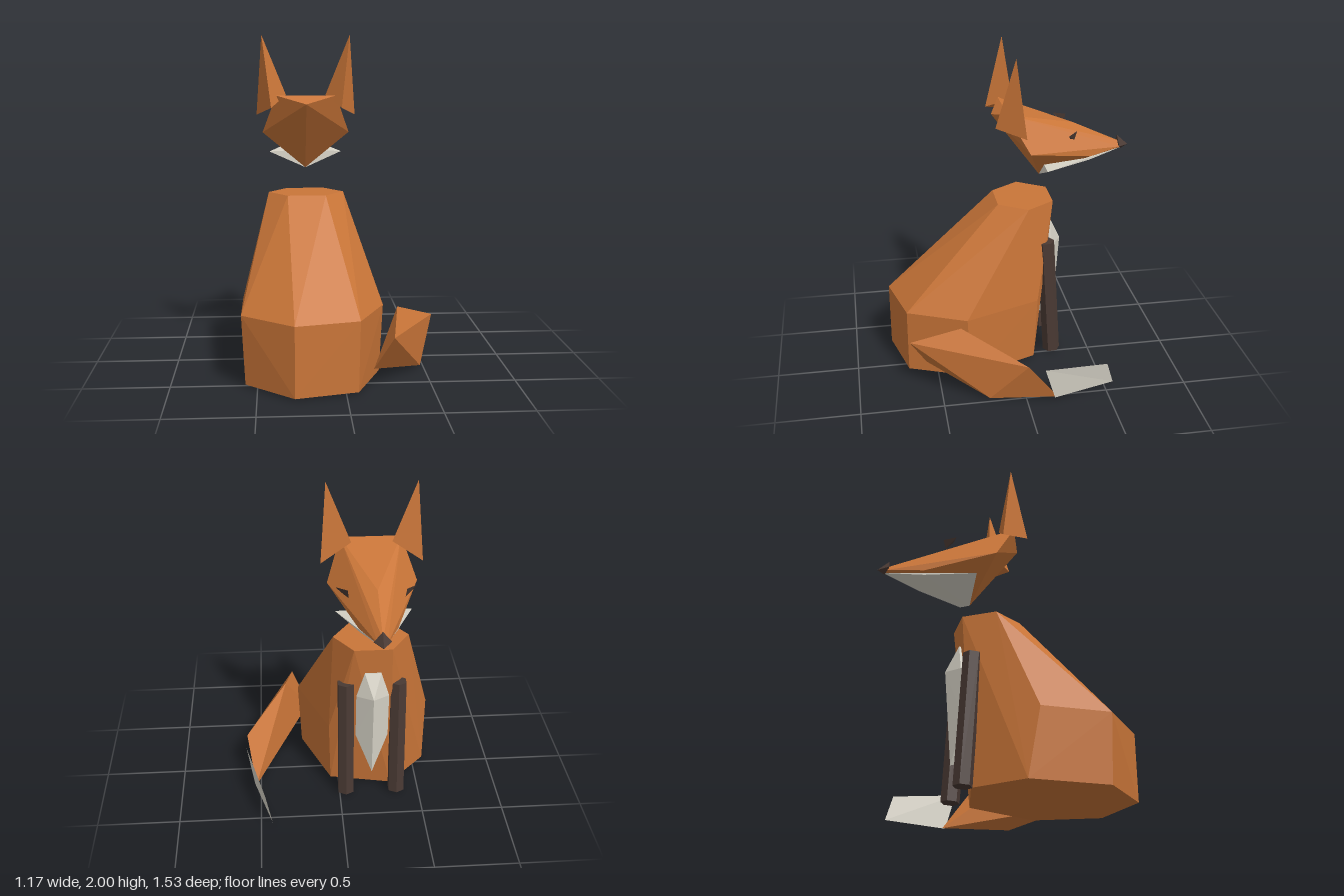
import * as THREE from 'three';
import { ConvexGeometry } from 'three/addons/geometries/ConvexGeometry.js';

const material = (color, side = THREE.FrontSide) =>
  new THREE.MeshStandardMaterial({ color, side, flatShading: true });
const fur = material(0xc97538);
const dark = material(0x4a3a34);
const darkThin = material(0x4a3a34, THREE.DoubleSide);
const cream = material(0xd6d2c6);
const creamThin = material(0xd6d2c6, THREE.DoubleSide);

const ring = (y, xz) => xz.map(([x, z]) => [x, y, z]);
const flip = (pts) => pts.map(([x, y, z]) => [-x, y, z]);
const both = (pts) => [...pts, ...flip(pts)];

function part(name, geometry, mat) {
  const mesh = new THREE.Mesh(geometry, mat);
  mesh.name = name;
  return mesh;
}

// Faceted solid around a few corner points
const solid = (name, pts, mat) =>
  part(name, new ConvexGeometry(pts.map((p) => new THREE.Vector3(...p))), mat);

// Thin four-cornered panel
function panel(name, pts, mat) {
  const g = new THREE.BufferGeometry();
  const corners = [0, 1, 2, 0, 2, 3].flatMap((i) => pts[i]);
  g.setAttribute('position', new THREE.Float32BufferAttribute(corners, 3));
  g.computeVertexNormals();
  return part(name, g, mat);
}

export function createModel() {
  const model = new THREE.Group();
  model.name = 'sittingFox';
  const fox = new THREE.Group();
  fox.name = 'fox';
  fox.position.x = -0.2; // the tail reaches out to +x
  model.add(fox);

  // Body: seven-sided haunches narrowing to a six-sided neck
  const neck = Array.from({ length: 6 }, (_, i) => {
    const a = (i * Math.PI) / 3;
    return [0.23 * Math.cos(a), -0.095 + 0.2 * Math.sin(a)];
  });
  fox.add(solid('body', [
    ...ring(0.01, [[0.42, 0.3], [0.27, 0.68], [-0.09, 0.77], [-0.37, 0.51], [-0.37, 0.04], [-0.13, -0.21], [0.25, -0.13]]),
    ...ring(0.42, [[0.44, 0.32], [0.28, 0.68], [-0.09, 0.77], [-0.39, 0.52], [-0.39, 0.11], [-0.12, -0.2], [0.26, -0.15]]),
    ...ring(1.04, neck),
  ], fur));

  // Chest bib
  fox.add(solid('chest', [
    ...both([[0.05, 0.88, -0.27], [0.1, 0.72, -0.27], [0.1, 0.42, -0.25], [0.04, 0.86, -0.2]]),
    [0, 0.73, -0.34], [0, 0.17, -0.3], [0, 0.2, -0.2],
  ], cream));

  // Head: skull and snout in one wedge
  fox.add(solid('head', [
    ...both([[0.18, 1.64, 0.03], [0.265, 1.41, -0.1], [0.11, 1.32, -0.5], [0.025, 1.34, -0.71]]),
    [0, 1.59, 0.1], [0, 1.18, -0.2], [0, 1.51, -0.41], [0, 1.37, -0.71], [0, 1.33, -0.73],
  ], fur));
  fox.add(solid('jaw', [
    ...both([[0.225, 1.28, -0.21], [0.1, 1.295, -0.5]]),
    [0, 1.18, -0.2], [0, 1.33, -0.73], [0, 1.29, -0.21],
  ], cream));
  fox.add(solid('nose', [
    ...both([[0.05, 1.35, -0.7]]),
    [0, 1.41, -0.695], [0, 1.32, -0.72], [0, 1.345, -0.765],
  ], dark));

  // Paired ears, eyes and front legs
  const ear = [[0.12, 1.64, -0.05], [0.3, 1.52, -0.07], [0.21, 1.57, 0.105], [0.265, 2, -0.01]];
  const eye = [[0.23, 1.5, -0.335], [0.165, 1.51, -0.4], [0.16, 1.455, -0.385], [0.2, 1.475, -0.35]];
  for (const [side, s] of [['left', 1], ['right', -1]]) {
    fox.add(solid(side + 'Ear', s > 0 ? ear : flip(ear), fur));
    fox.add(panel(side + 'Eye', s > 0 ? eye : flip(eye), darkThin));
    const leg = part(side + 'FrontLeg', new THREE.CylinderGeometry(0.055, 0.055, 0.785, 6), dark);
    leg.position.set(s * 0.16, 0.395, -0.24);
    leg.rotation.x = 0.06;
    fox.add(leg);
  }

  // Tail sweeping forward, with a thin pale tip
  fox.add(solid('tail', [
    [0.47, 0.32, 0.68], [0.365, 0.11, 0.575], [0.52, 0.42, 0.37],
    [0.78, 0.27, 0], [0.68, 0.01, 0.22], [0.73, 0.01, -0.19],
  ], fur));
  fox.add(panel('tailTip', [
    [0.785, 0.24, -0.1], [0.67, 0.17, -0.51], [0.63, 0.01, -0.56], [0.74, 0.01, -0.17],
  ], creamThin));

  return model;
}
